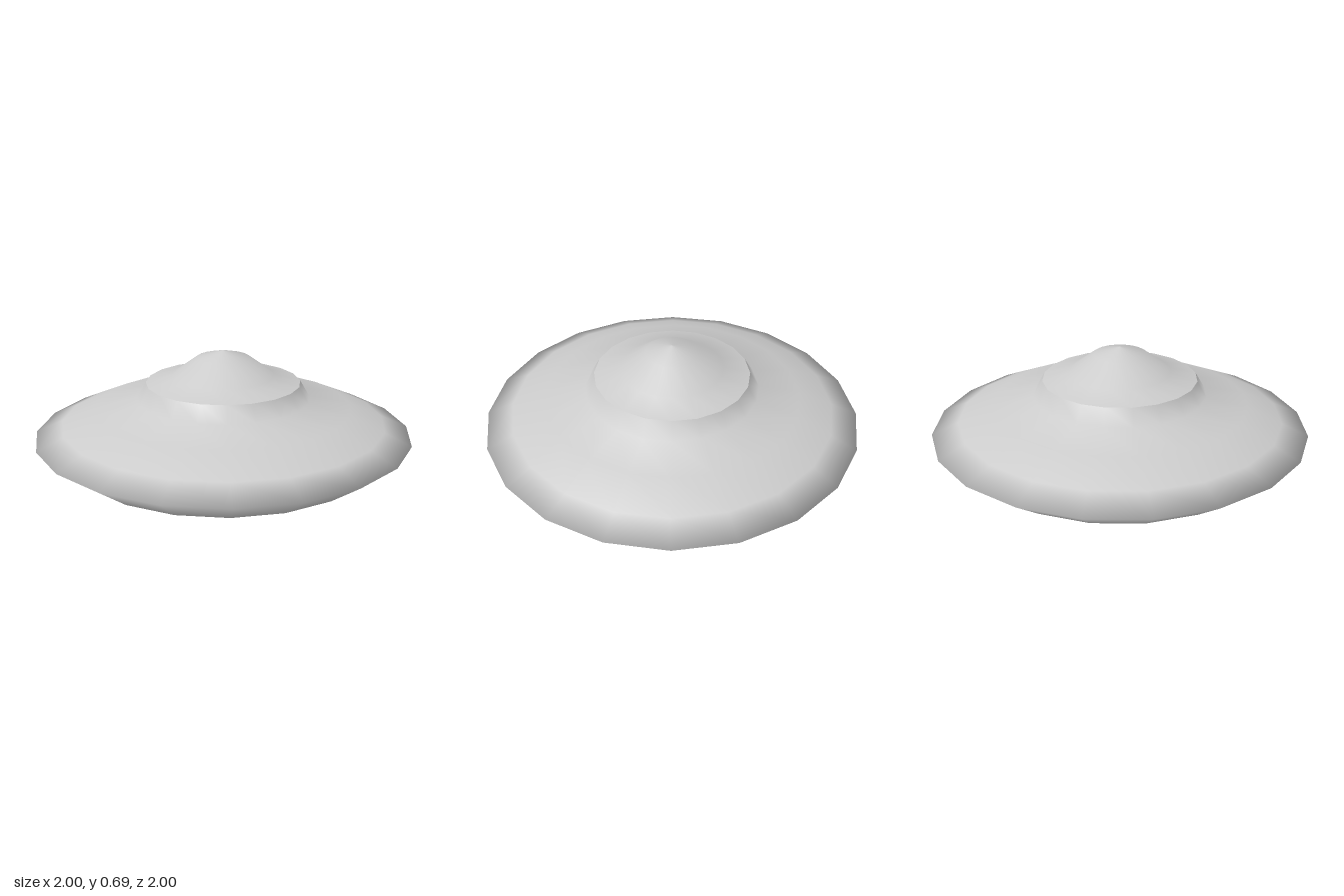
import * as THREE from 'three';

const SIDES = 20;

export function createModel() {
  const group = new THREE.Group();
  const material = new THREE.MeshStandardMaterial({ color: 0xcccccc, side: THREE.DoubleSide });

  // Each part is a smooth lathe; the joints between parts stay sharp.
  const addLathe = (name, profile) => {
    const points = profile.map(([r, y]) => new THREE.Vector2(r, y));
    const mesh = new THREE.Mesh(new THREE.LatheGeometry(points, SIDES), material);
    mesh.name = name;
    group.add(mesh);
  };

  // Shallow dished underside
  addLathe('belly', [[0, 0.005], [0.28, 0.017], [0.52, 0.08], [0.68, 0.125], [0.82, 0.125]]);

  // Wide disc with a rounded-over rim and the collar under the dome
  addLathe('hull', [
    [0.82, 0.125], [1, 0.255], [0.86, 0.317], [0.68, 0.395], [0.46, 0.44], [0.41, 0.525],
  ]);

  // Bell-shaped cap
  addLathe('dome', [[0.41, 0.525], [0.27, 0.562], [0.14, 0.657], [0, 0.695]]);

  return group;
}
